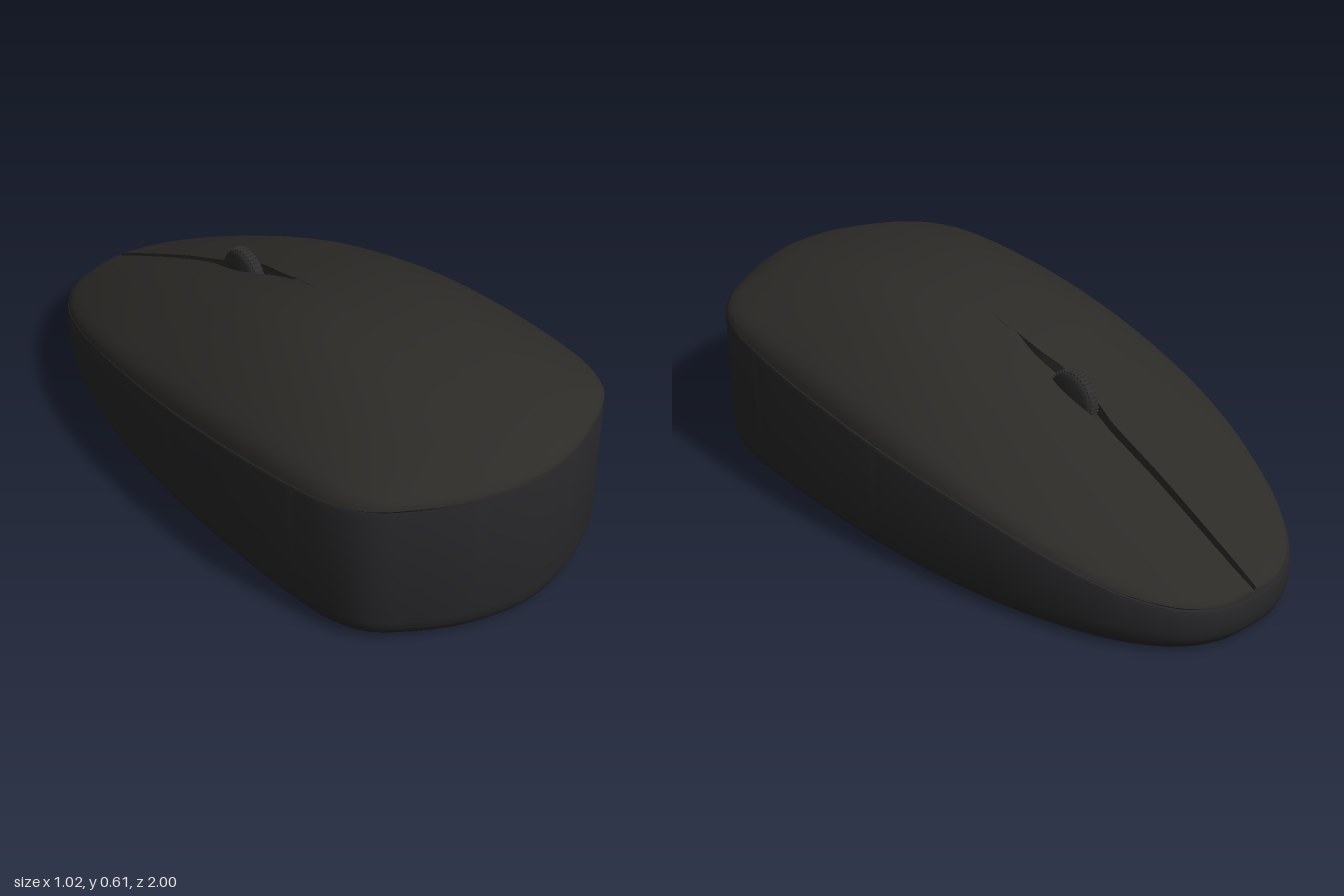
import * as THREE from 'three';
import { toCreasedNormals } from 'three/addons/utils/BufferGeometryUtils.js';

// Smooth interpolation through [x, y] pairs (cubic Hermite)
function smooth(pts) {
  const n = pts.length;
  const slope = pts.map((_, i) => {
    const a = pts[Math.max(i - 1, 0)], b = pts[Math.min(i + 1, n - 1)];
    return (b[1] - a[1]) / (b[0] - a[0]);
  });
  return (x) => {
    x = Math.min(Math.max(x, pts[0][0]), pts[n - 1][0]);
    let i = 0;
    while (i < n - 2 && x > pts[i + 1][0]) i++;
    const h = pts[i + 1][0] - pts[i][0], t = (x - pts[i][0]) / h, t2 = t * t, t3 = t2 * t;
    return (2 * t3 - 3 * t2 + 1) * pts[i][1] + (t3 - 2 * t2 + t) * h * slope[i]
      + (3 * t2 - 2 * t3) * pts[i + 1][1] + (t3 - t2) * h * slope[i + 1];
  };
}

// Skin a list of equally long rows of [x, y, z] points
function loft(rows, crease) {
  const cols = rows[0].length, index = [];
  for (let i = 0; i < rows.length - 1; i++) {
    for (let j = 0; j < cols - 1; j++) {
      const a = i * cols + j, b = a + cols;
      index.push(a, b, b + 1, a, b + 1, a + 1);
    }
  }
  const geo = new THREE.BufferGeometry();
  geo.setAttribute('position', new THREE.Float32BufferAttribute(rows.flat(2), 3));
  geo.setIndex(index);
  return toCreasedNormals(geo, crease);
}

// Height of the seam and of the crown along z, and the crown's cross-section
const seam = smooth([[-1, 0.125], [-0.8, 0.175], [-0.5, 0.26], [-0.3, 0.305], [0, 0.35], [0.4, 0.4], [0.8, 0.448], [1, 0.465]]);
const crown = smooth([[-1, 0.136], [-0.95, 0.165], [-0.8, 0.24], [-0.6, 0.335], [-0.4, 0.42], [-0.2, 0.496], [0, 0.56],
  [0.2, 0.6], [0.4, 0.612], [0.6, 0.597], [0.8, 0.557], [0.9, 0.527], [0.97, 0.5], [1, 0.476]]);
const section = smooth([[0, 1], [0.2, 0.99], [0.4, 0.94], [0.6, 0.78], [0.8, 0.53], [0.93, 0.31], [0.98, 0.16], [1, 0.03]]);

// Half width and depth of the groove that holds the wheel
const grooveWidth = smooth([[-1, 0.01], [-0.6, 0.013], [-0.42, 0.014], [-0.36, 0.026], [-0.27, 0.036], [-0.19, 0.028], [-0.12, 0.013], [-0.02, 0.005], [0.1, 0.004]]);
const grooveDepth = smooth([[-1, 0.012], [-0.9, 0.022], [-0.4, 0.03], [-0.27, 0.04], [-0.1, 0.022], [-0.02, 0], [0.1, 0]]);

// Plan outline, starting at the nose and running round by +x
const HALF = 130;
function planOutline() {
  const half = [[0.1, -0.99], [0.21, -0.935], [0.32, -0.8], [0.405, -0.6], [0.458, -0.4], [0.49, -0.2], [0.507, 0], [0.512, 0.2],
    [0.508, 0.4], [0.494, 0.6], [0.474, 0.72], [0.425, 0.82], [0.32, 0.9], [0.17, 0.97]];
  const pts = [[0, -1], ...half, [0, 1], ...half.map(([x, z]) => [-x, z]).reverse()];
  const curve = new THREE.CatmullRomCurve3(pts.map(([x, z]) => new THREE.Vector3(x, 0, z)), true);
  curve.arcLengthDivisions = 1000;
  return curve.getSpacedPoints(2 * HALF);
}

// Lower body: stacked rings with a rounded foot and a cut-back seam
function bodyGeometry(outline) {
  const ring = (inset, height) => outline.map((p) =>
    [p.x * (1 - inset / 0.512), height(p.z), p.z * (1 - inset)]);
  return loft([
    ring(0.512, () => 0).map(() => [0, 0, 0]),
    ring(0.045, () => 0),
    ring(0.028, () => 0.006),
    ring(0.012, () => 0.024),
    ring(0.003, () => 0.045),
    ring(0, () => 0.07),
    ring(0, (z) => seam(z) - 0.012),
    ring(0.004, (z) => seam(z) - 0.003),
    ring(0.012, (z) => seam(z) - 0.001),
    ring(0.06, (z) => seam(z) - 0.008),
  ], 0.7);
}

// Domed top: cross-sections along z, with the groove sunk into the middle
function shellGeometry(outline) {
  const steps = 22;
  const rows = outline.slice(0, HALF + 1).map((p) => {
    const w = Math.max(p.x, 0), z = p.z < 0 ? p.z * 0.988 : p.z;
    const base = seam(z), rise = crown(z) - base;
    const g = Math.min(grooveWidth(z), w * 0.4), d = grooveDepth(z);
    const at = (x) => base + rise * section(w > 1e-6 ? x / w : 1);
    const right = [[g * 0.8, at(0) - d, z], [g, at(g), z]];
    for (let k = 1; k <= steps; k++) {
      const x = g + (w - g) * Math.sin((k / steps) * Math.PI / 2);
      right.push([x, at(x), z]);
    }
    right.push([w * 0.975, base - 0.006, z]);
    const left = right.map(([x, y, zz]) => [-x, y, zz]).reverse();
    return [...left, ...right];
  });
  return loft(rows, 0.7);
}

// Scroll wheel with fine ribs, turning about x
function scrollWheel(material, ribMaterial) {
  const wheel = new THREE.Group();
  wheel.name = 'scrollWheel';
  const profile = [[0, -0.024], [0.068, -0.024], [0.079, -0.018], [0.083, -0.008], [0.083, 0.008], [0.079, 0.018], [0.068, 0.024], [0, 0.024]];
  const tyre = new THREE.Mesh(
    toCreasedNormals(new THREE.LatheGeometry(profile.map(([r, y]) => new THREE.Vector2(r, y)), 48), 0.7), material);
  tyre.name = 'wheelTyre';
  tyre.rotation.z = Math.PI / 2;
  wheel.add(tyre);
  const ribGeo = new THREE.BoxGeometry(0.028, 0.005, 0.005);
  const count = 40;
  for (let i = 0; i < count; i++) {
    const a = (i / count) * Math.PI * 2;
    const rib = new THREE.Mesh(ribGeo, ribMaterial);
    rib.name = 'wheelRib';
    rib.position.set(0, Math.cos(a) * 0.083, Math.sin(a) * 0.083);
    rib.rotation.x = a;
    wheel.add(rib);
  }
  wheel.position.set(0, 0.439, -0.28);
  return wheel;
}

export function createModel() {
  const paint = (color) => new THREE.MeshStandardMaterial({ color });
  const outline = planOutline();
  const model = new THREE.Group();
  model.name = 'computerMouse';

  const body = new THREE.Mesh(bodyGeometry(outline), paint(0x262628));
  body.name = 'lowerBody';

  const shellMaterial = paint(0x2d2b28);
  shellMaterial.side = THREE.DoubleSide;
  const shell = new THREE.Mesh(shellGeometry(outline), shellMaterial);
  shell.name = 'topShell';

  model.add(body, shell, scrollWheel(paint(0x2a2a2a), paint(0x303030)));
  return model;
}
